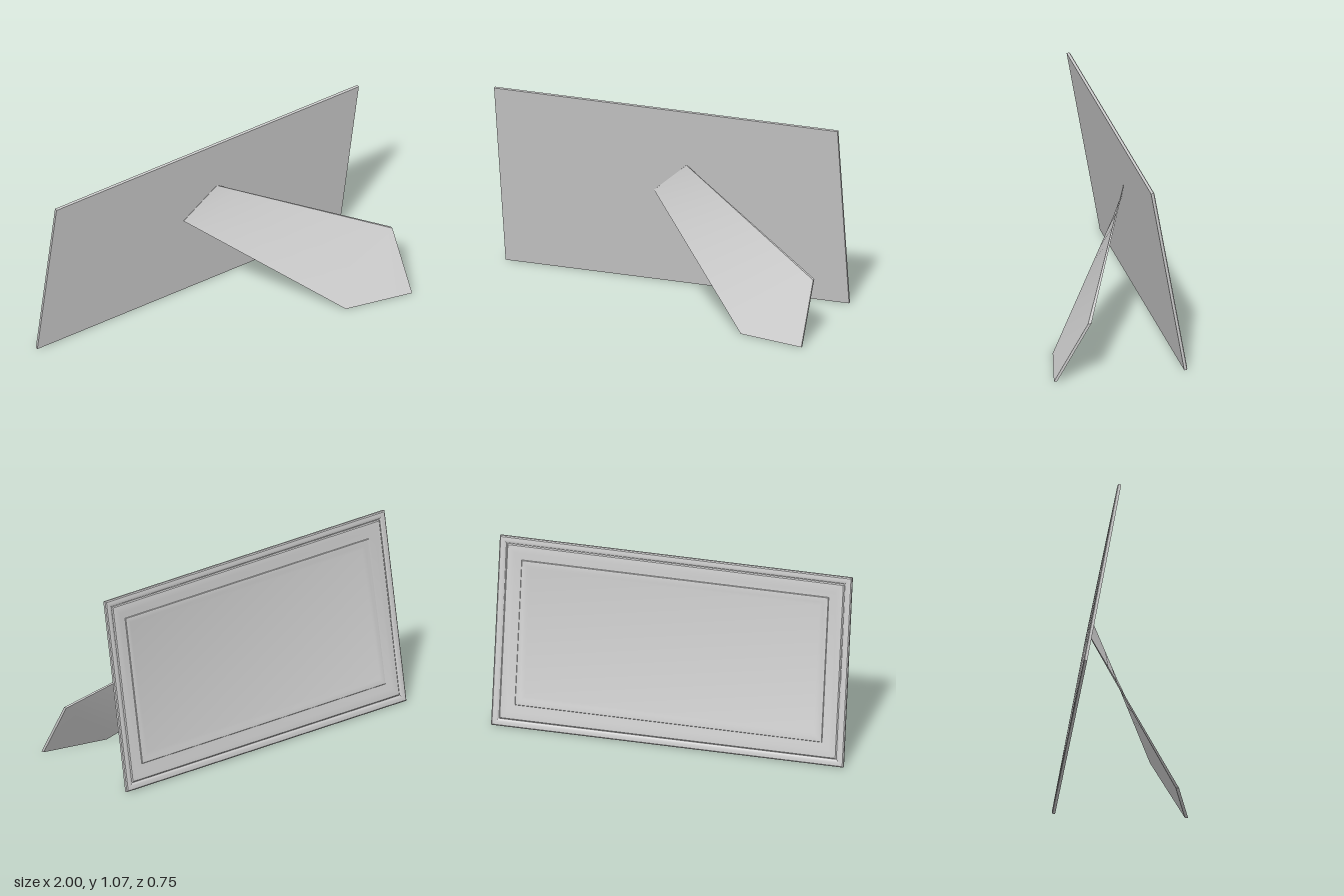
import * as THREE from 'three';
import { toCreasedNormals } from 'three/addons/utils/BufferGeometryUtils.js';

const material = new THREE.MeshStandardMaterial({ color: 0xcccccc });

function makeMesh(name, points, faces, crease) {
  const geometry = new THREE.BufferGeometry();
  geometry.setAttribute('position', new THREE.Float32BufferAttribute(points.flat(), 3));
  geometry.setIndex(faces.flat());
  const mesh = new THREE.Mesh(toCreasedNormals(geometry, crease), material);
  mesh.name = name;
  return mesh;
}

const quad = (a, b, c, d) => [a, b, c, a, c, d];

// Rectangular moulding: [inset, depth] rings joined from the back edge to the panel
function createFrame() {
  const W = 1, H = 1.088;
  const profile = [
    [0, 0], [0, 0.015], [0.006, 0.0195], [0.02, 0.02], [0.032, 0.018], [0.038, 0.013],
    [0.042, 0.013], [0.048, 0.018], [0.065, 0.019], [0.09, 0.016], [0.12, 0.011],
    [0.128, 0.01], [0.131, 0.014], [0.14, 0.0145], [0.16, 0.011], [0.18, 0.006],
  ];
  const points = [], faces = [];
  profile.forEach(([d, h], k) => {
    points.push([W - d, d, -h], [d - W, d, -h], [d - W, H - d, -h], [W - d, H - d, -h]);
    if (k === 0) return;
    for (let i = 0; i < 4; i++) {
      const j = (i + 1) % 4, a = (k - 1) * 4, b = k * 4;
      faces.push(quad(a + i, a + j, b + j, b + i));
    }
  });
  const last = (profile.length - 1) * 4;
  faces.push(quad(last, last + 1, last + 2, last + 3)); // picture panel
  faces.push(quad(3, 2, 1, 0)); // flat backing
  const frame = makeMesh('pictureFrame', points, faces, 0.6);
  frame.rotation.x = 0.173;
  frame.position.z = -0.357;
  return frame;
}

// Gently twisted support plate, ruled between its two long edges, with a foot corner
function createLeg() {
  const hingeLow = new THREE.Vector3(-0.1, 0.56, -0.262);
  const hingeHigh = new THREE.Vector3(0.1, 0.74, -0.231);
  const heelHigh = new THREE.Vector3(0.985, 0.325, 0.163);
  const heelLow = new THREE.Vector3(0.985, 0, 0.356);
  const toe = new THREE.Vector3(0.603, 0, 0.272);
  const steps = 10, points = [], faces = [];
  const addPair = (p, thickness) => {
    points.push([p.x, p.y, p.z], [p.x, p.y, p.z + thickness]);
  };
  for (let i = 0; i <= steps; i++) {
    const t = i / steps, thickness = 0.005 + 0.013 * t;
    addPair(hingeLow.clone().lerp(toe, t), thickness);
    addPair(hingeHigh.clone().lerp(heelHigh, t), thickness);
    if (i === 0) continue;
    const a = (i - 1) * 4, b = i * 4;
    faces.push(quad(a + 1, b + 1, b + 3, a + 3)); // front
    faces.push(quad(a, a + 2, b + 2, b)); // rear
    faces.push(quad(a, b, b + 1, a + 1)); // lower edge
    faces.push(quad(a + 2, a + 3, b + 3, b + 2)); // upper edge
  }
  const e = steps * 4, d = e + 4;
  addPair(heelLow, 0.018);
  faces.push([e + 1, d + 1, e + 3], [e, e + 2, d]);
  faces.push(quad(e, d, d + 1, e + 1), quad(e + 2, e + 3, d + 1, d), quad(0, 1, 3, 2));
  return makeMesh('supportLeg', points, faces, 0.6);
}

export function createModel() {
  const model = new THREE.Group();
  model.name = 'standingPictureFrame';
  model.add(createFrame(), createLeg());
  return model;
}
